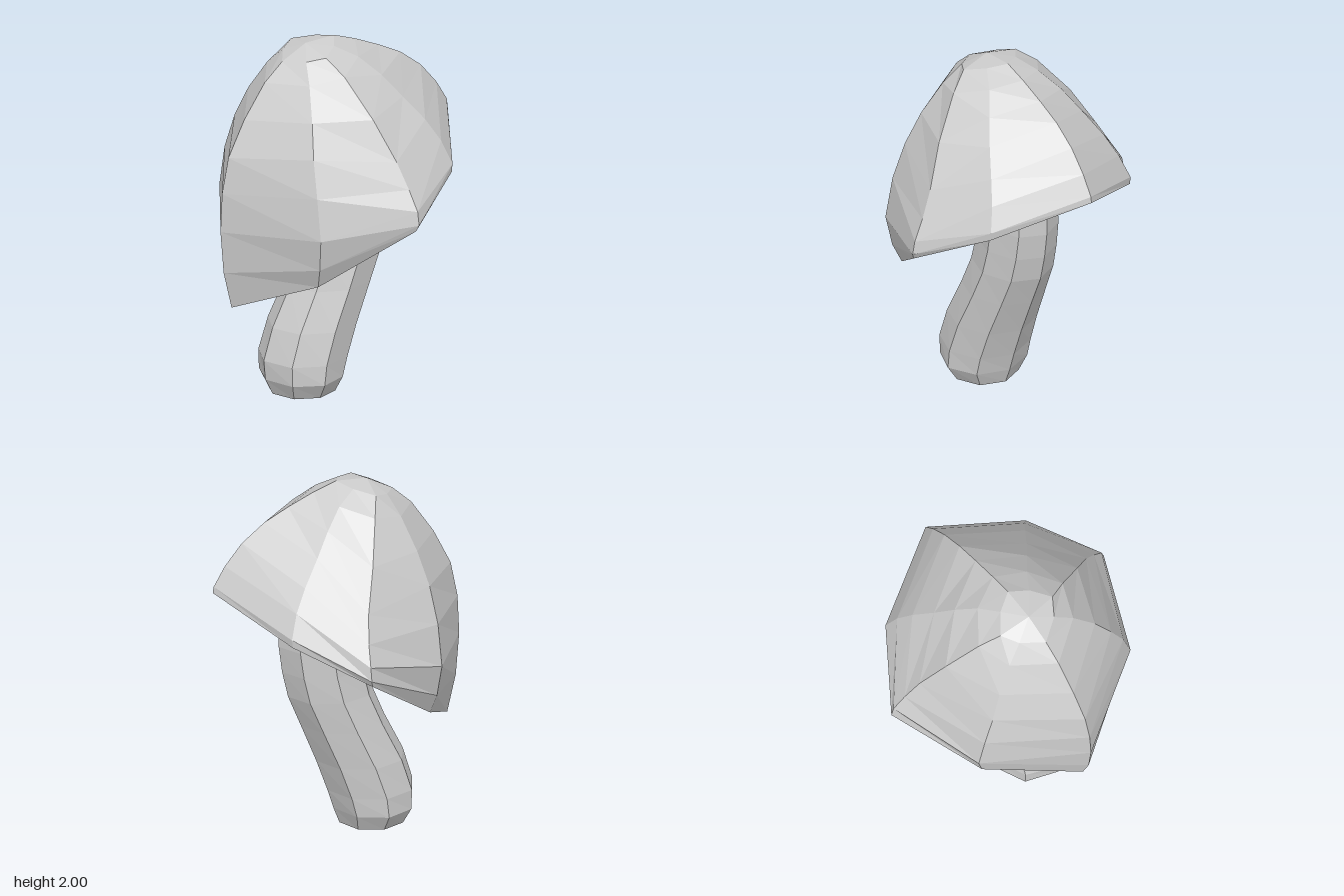
import * as THREE from 'three';

const material = new THREE.MeshStandardMaterial({ color: 0xcccccc, flatShading: true });

// Skin a stack of closed rings (top to bottom), optionally fanned to end points.
function loft(name, rings, top, bottom) {
  const positions = [];
  const tri = (...points) => points.forEach((p) => positions.push(...p));
  const n = rings[0].length;
  const last = rings[rings.length - 1];
  for (let j = 0; j < n; j++) {
    const k = (j + 1) % n;
    if (top) tri(top, rings[0][k], rings[0][j]);
    for (let i = 0; i < rings.length - 1; i++) {
      const a = rings[i], b = rings[i + 1];
      tri(a[j], a[k], b[j]);
      tri(a[k], b[k], b[j]);
    }
    if (bottom) tri(last[j], last[k], bottom);
  }
  const geometry = new THREE.BufferGeometry();
  geometry.setAttribute('position', new THREE.Float32BufferAttribute(positions, 3));
  geometry.computeVertexNormals();
  const mesh = new THREE.Mesh(geometry, material);
  mesh.name = name;
  return mesh;
}

// Cap ribs from crown to rim, running from the raised left edge
// around the front to the drooping right edge.
const ribs = [
  [[0, 2, 0], [0.13, 1.955, 0], [0.28, 1.89, 0], [0.42, 1.82, 0],
    [0.55, 1.72, 0], [0.65, 1.6, 0], [0.715, 1.49, 0], [0.72, 1.455, 0]],
  [[-0.06, 1.98, 0.1], [0.05, 1.92, 0.17], [0.15, 1.82, 0.25], [0.24, 1.7, 0.32],
    [0.34, 1.57, 0.39], [0.41, 1.45, 0.44], [0.455, 1.32, 0.485], [0.45, 1.275, 0.485]],
  [[-0.16, 1.955, 0.18], [-0.11, 1.87, 0.29], [-0.03, 1.66, 0.455], [0.045, 1.44, 0.577],
    [0.075, 1.3, 0.655], [0.09, 1.19, 0.72], [0.09, 1.115, 0.735], [0.08, 1.08, 0.72]],
  [[-0.25, 1.93, 0.12], [-0.29, 1.83, 0.22], [-0.34, 1.66, 0.33], [-0.38, 1.48, 0.41],
    [-0.4, 1.28, 0.48], [-0.405, 1.05, 0.525], [-0.39, 0.87, 0.49], [-0.37, 0.755, 0.44]],
  [[-0.33, 1.91, 0], [-0.44, 1.81, 0], [-0.57, 1.62, 0], [-0.67, 1.42, 0],
    [-0.71, 1.22, 0], [-0.72, 1, 0], [-0.7, 0.76, 0], [-0.65, 0.55, 0]],
];

// Stem stations: y, right edge x, left edge x, half depth.
const stations = [
  [1.3, -0.13, 0.335, 0.18],
  [1.08, -0.15, 0.335, 0.195],
  [0.93, -0.17, 0.315, 0.2],
  [0.78, -0.205, 0.28, 0.208],
  [0.6, -0.28, 0.205, 0.22],
  [0.38, -0.39, 0.115, 0.238],
  [0.2, -0.445, 0.05, 0.248],
  [0.09, -0.435, 0.015, 0.248],
  [0, -0.39, -0.02, 0.19],
];

export function createModel() {
  const group = new THREE.Group();
  group.name = 'mushroom';

  // Cap: mirror the front ribs to the back, then read off the rings.
  const mirrored = ribs.slice(1, 4).reverse().map((rib) => rib.map(([x, y, z]) => [x, y, -z]));
  const allRibs = [...ribs, ...mirrored];
  const capRings = ribs[0].map((_, i) => allRibs.map((rib) => rib[i]));
  group.add(loft('cap', capRings, [-0.18, 1.99, 0]));

  // Flat underside closing the rim.
  group.add(loft('capUnderside', [capRings[capRings.length - 1]], null, [0.05, 1.03, 0]));

  // Eight-sided bent stem.
  const stemRings = stations.map(([y, x0, x1, depth]) =>
    Array.from({ length: 8 }, (_, j) => {
      const a = (j * Math.PI) / 4;
      return [(x0 + x1) / 2 + ((x1 - x0) / 2) * Math.cos(a), y, depth * Math.sin(a)];
    }));
  group.add(loft('stem', stemRings, [0.1, 1.3, 0], [-0.205, 0, 0]));

  return group;
}
